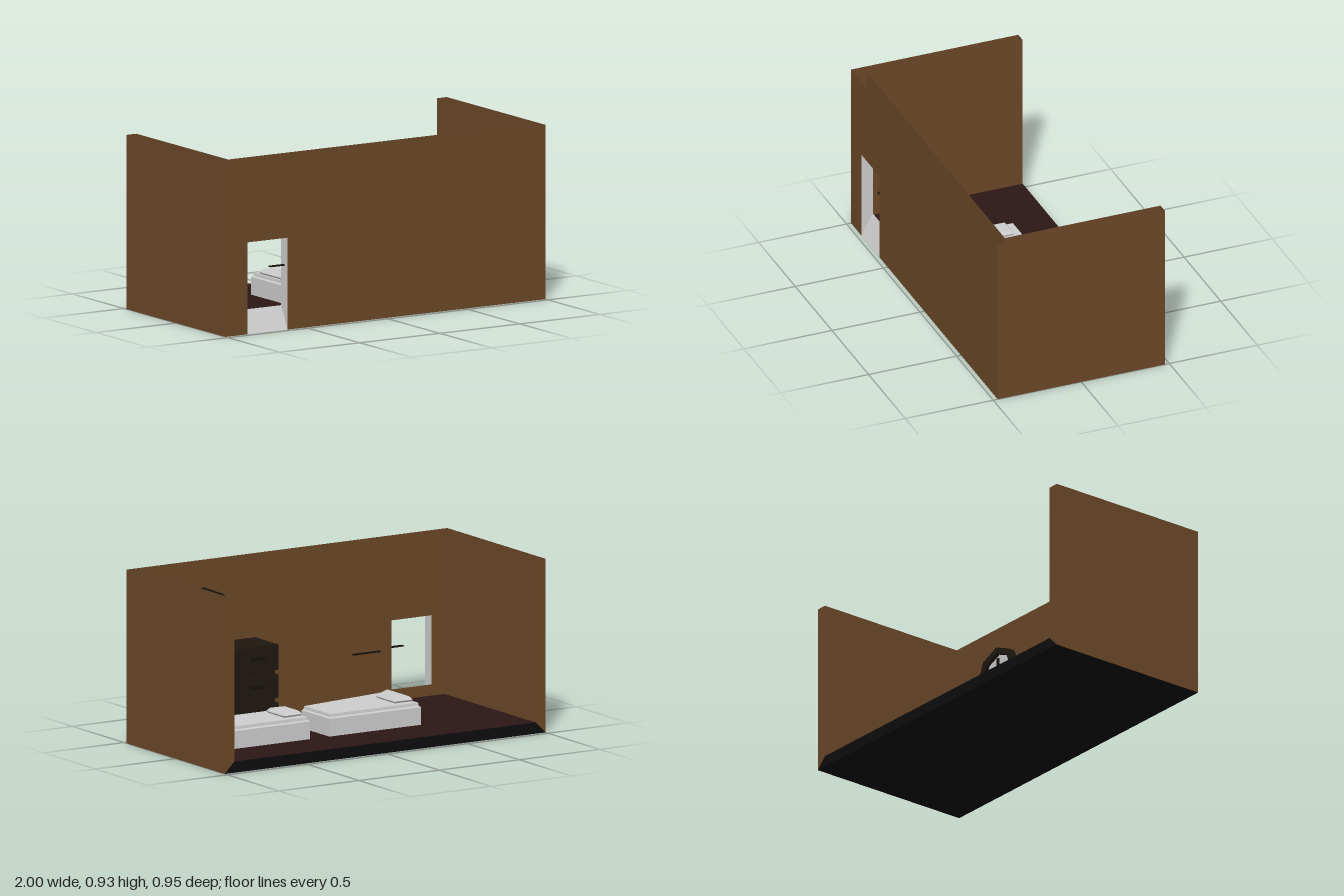
import * as THREE from 'three';

const mat = (color) => new THREE.MeshStandardMaterial({ color, side: THREE.DoubleSide, flatShading: true });
const WALL = mat(0x6a4727), FLOOR = mat(0x2c1616), BASE = mat(0x0d0d0d);
const WOOD = mat(0x1e1710), HANDLE = mat(0x14100c), GREY = mat(0xcccccc);

function add(parent, name, geometry, material, x = 0, y = 0, z = 0) {
  const mesh = new THREE.Mesh(geometry, material);
  mesh.name = name;
  mesh.position.set(x, y, z);
  parent.add(mesh);
  return mesh;
}
const box = (w, h, d) => new THREE.BoxGeometry(w, h, d);

// four-cornered sheet
function quad(a, b, c, d) {
  const g = new THREE.BufferGeometry();
  g.setAttribute('position', new THREE.Float32BufferAttribute([...a, ...b, ...c, ...d], 3));
  g.setIndex([0, 1, 2, 0, 2, 3]);
  g.computeVertexNormals();
  return g;
}

// solid stacked from rings of [x, z] corners at given heights, closed top and bottom
function loft(rings) {
  const pos = [], idx = [];
  rings.forEach(({ y, pts }) => pts.forEach(([x, z]) => pos.push(x, y, z)));
  for (let r = 0; r < rings.length - 1; r++) {
    for (let i = 0; i < 4; i++) {
      const a = r * 4 + i, b = r * 4 + (i + 1) % 4;
      idx.push(a, b, b + 4, a, b + 4, a + 4);
    }
  }
  const t = (rings.length - 1) * 4;
  idx.push(t, t + 1, t + 2, t, t + 2, t + 3, 0, 2, 1, 0, 3, 2);
  const g = new THREE.BufferGeometry();
  g.setAttribute('position', new THREE.Float32BufferAttribute(pos, 3));
  g.setIndex(idx);
  const flat = g.toNonIndexed();
  flat.computeVertexNormals();
  return flat;
}

const H = 0.93, X = 1, Z = 0.475, XI = 0.94, ZI = 0.41, FY = 0.06;
const D0 = -0.86, D1 = -0.61, DOOR_TOP = 0.49, SILL = 0.12;

// front wall sheet with a doorway notch or hole
function wallSheet(halfWidth, bottom, doorBottom) {
  const s = new THREE.Shape();
  if (doorBottom <= bottom) {
    [[-halfWidth, bottom], [D0, bottom], [D0, DOOR_TOP], [D1, DOOR_TOP], [D1, bottom],
      [halfWidth, bottom], [halfWidth, H], [-halfWidth, H]]
      .forEach(([x, y], i) => (i ? s.lineTo(x, y) : s.moveTo(x, y)));
  } else {
    s.moveTo(-halfWidth, bottom).lineTo(halfWidth, bottom).lineTo(halfWidth, H).lineTo(-halfWidth, H);
    s.holes.push(new THREE.Path().moveTo(D0, doorBottom).lineTo(D0, DOOR_TOP)
      .lineTo(D1, DOOR_TOP).lineTo(D1, doorBottom));
  }
  return new THREE.ShapeGeometry(s);
}

function buildRoom() {
  const room = new THREE.Group();
  room.name = 'room';
  add(room, 'frontWallOuter', wallSheet(X, 0, 0), WALL, 0, 0, Z);
  add(room, 'frontWallInner', wallSheet(XI, FY, SILL), WALL, 0, 0, ZI);
  // hollow side walls, open along the top, closed at the back end
  for (const s of [-1, 1]) {
    add(room, 'sideWallOuter', quad([s * X, 0, -Z], [s * X, 0, Z], [s * X, H, Z], [s * X, H, -Z]), WALL);
    add(room, 'sideWallInner', quad([s * XI, FY, ZI], [s * XI, FY, -Z], [s * XI, H, -Z], [s * XI, H, ZI]), WALL);
    add(room, 'sideWallEnd', quad([s * X, 0, -Z], [s * XI, FY, -Z], [s * XI, H, -Z], [s * X, H, -Z]), WALL);
  }
  add(room, 'floor', quad([-XI, FY, ZI], [XI, FY, ZI], [XI, FY, -Z], [-XI, FY, -Z]), FLOOR);
  add(room, 'underside', quad([-X, 0, -Z], [X, 0, -Z], [X, 0, Z], [-X, 0, Z]), BASE);
  add(room, 'floorEdge', quad([X, 0, -Z], [-X, 0, -Z], [-XI, FY, -Z], [XI, FY, -Z]), BASE);
  // doorway lining and sloped sill
  for (const x of [D0, D1]) {
    add(room, 'doorJamb', quad([x, 0, Z], [x, SILL, ZI], [x, DOOR_TOP, ZI], [x, DOOR_TOP, Z]), GREY);
  }
  add(room, 'doorSill', quad([D0, 0, Z], [D1, 0, Z], [D1, SILL, ZI], [D0, SILL, ZI]), GREY);
  // thin latch bars beside the doorway
  add(room, 'latchBar', box(0.22, 0.006, 0.02), HANDLE, -0.59, 0.34, 0.44);
  add(room, 'latchHandle', box(0.17, 0.006, 0.018), HANDLE, -0.435, 0.34, 0.38);
  return room;
}

// bed whose front side may slant outwards by flare at the pillow end
function buildBed(x0, flare) {
  const bed = new THREE.Group();
  bed.name = 'bed';
  const L = 0.57, ring = (y, i) => ({
    y, pts: [[i, 0.07 + flare - i], [L - i, 0.07 - i], [L - i, -0.2 + i], [i, -0.2 + i]],
  });
  add(bed, 'mattress', loft([ring(FY, 0), ring(0.155, 0), ring(0.162, 0.008), ring(0.178, 0.01)]), GREY);
  const pillowRing = (y, i) => ({
    y, pts: [[0.015 + i, 0.025 + flare * 0.95 - i * 1.5], [0.13 - i, 0.025 + flare * 0.1 - i],
      [0.13 - i, -0.148 + i], [0.015 + i, -0.148 + i]],
  });
  add(bed, 'pillow', loft([pillowRing(0.176, 0.008), pillowRing(0.188, 0), pillowRing(0.205, 0.015)]), GREY);
  bed.position.x = x0;
  return bed;
}

// three-tier, two-column chest of drawers
function buildDresser() {
  const g = new THREE.Group();
  g.name = 'dresser';
  const x0 = 0.24, x1 = 0.81, z0 = 0.17, cx = (x0 + x1) / 2, d = ZI - z0, cz = z0 + d / 2;
  add(g, 'dresserCore', box(x1 - x0 - 0.03, 0.43, d - 0.03), WOOD, cx, FY + 0.215, cz + 0.01);
  [[0.06, 0.185], [0.21, 0.335], [0.36, 0.495]].forEach(([a, b]) => {
    const h = b - a, y = (a + b) / 2;
    add(g, 'dresserTier', box(x1 - x0, h, d - 0.015), WOOD, cx, y, cz + 0.0075);
    for (const s of [-1, 1]) {
      const x = cx + s * 0.1425;
      add(g, 'drawerFront', box(0.265, h - 0.015, 0.015), WOOD, x, y, z0 + 0.0075);
      add(g, 'drawerHandle', box(0.09, 0.018, 0.014), HANDLE, x, y + 0.01, z0 - 0.006);
    }
  });
  return g;
}

// eight-sided wall clock facing the open back of the room
function buildClock() {
  const g = new THREE.Group();
  g.name = 'clock';
  const polygon = (Type, r) => {
    const p = new Type();
    for (let i = 0; i < 8; i++) {
      const a = i * Math.PI / 4, x = r * Math.cos(a), y = r * Math.sin(a);
      i ? p.lineTo(x, y) : p.moveTo(x, y);
    }
    p.closePath();
    return p;
  };
  const rim = polygon(THREE.Shape, 0.155);
  rim.holes.push(polygon(THREE.Path, 0.12));
  add(g, 'clockRim', new THREE.ExtrudeGeometry(rim, { depth: 0.035, bevelEnabled: false }), WOOD);
  add(g, 'clockFace', new THREE.CircleGeometry(0.122, 8), GREY, 0, 0, 0.012);
  const hub = add(g, 'clockHub', new THREE.CylinderGeometry(0.024, 0.024, 0.02, 8), HANDLE, 0, 0, 0.022);
  hub.rotation.x = Math.PI / 2;
  add(g, 'minuteHand', box(0.014, 0.09, 0.008), HANDLE, 0, 0.05, 0.024);
  add(g, 'hourHand', box(0.07, 0.014, 0.008), HANDLE, -0.04, 0, 0.024);
  g.rotation.y = Math.PI;
  g.position.set(0.565, 0.645, ZI);
  return g;
}

export function createModel() {
  const model = new THREE.Group();
  model.name = 'bedroom';
  model.add(buildRoom(), buildBed(0.29, 0), buildBed(-0.4, 0.08), buildDresser(), buildClock());
  return model;
}
